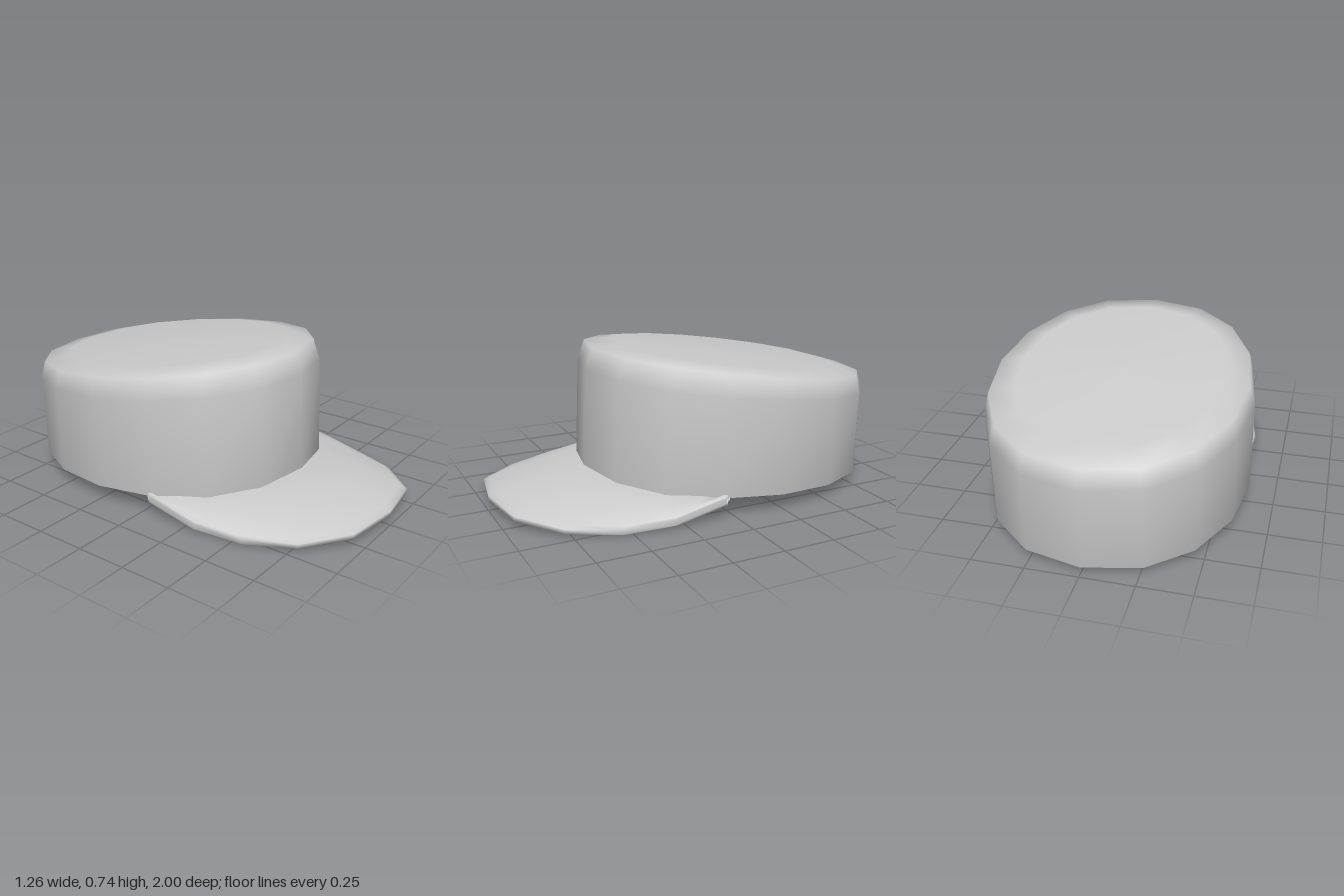
import * as THREE from 'three';

const material = new THREE.MeshStandardMaterial({ color: 0xcccccc, side: THREE.DoubleSide });
const SIDES = 16;

// Skin a row of closed loops (equal point counts) with smooth normals.
function loft(loops) {
  const n = loops[0].length, index = [];
  for (let r = 0; r < loops.length - 1; r++) {
    for (let i = 0; i < n; i++) {
      const a = r * n + i, b = r * n + (i + 1) % n;
      index.push(a, b, b + n, a, b + n, a + n);
    }
  }
  const geometry = new THREE.BufferGeometry();
  geometry.setAttribute('position', new THREE.Float32BufferAttribute(loops.flat(2), 3));
  geometry.setIndex(index);
  geometry.computeVertexNormals();
  return geometry;
}

// Tilted oval ring given by its front point, back point and half width.
function oval([zFront, yFront, zBack, yBack, halfWidth]) {
  const loop = [];
  for (let i = 0; i < SIDES; i++) {
    const t = (i / SIDES) * Math.PI * 2, s = Math.sin(t), k = (1 + Math.cos(t)) / 2;
    loop.push([
      halfWidth * Math.sign(s) * Math.abs(s) ** 0.9,
      THREE.MathUtils.lerp(yBack, yFront, k),
      THREE.MathUtils.lerp(zBack, zFront, k),
    ]);
  }
  return loop;
}

// Crown: hollow shell from the inner ceiling, down, round the hem and up.
function crown() {
  return loft([
    [-0.25, 0.63, -0.252, 0.63, 0.001],
    [0.39, 0.685, -0.9, 0.495, 0.54],
    [0.445, 0.6, -0.945, 0.41, 0.575],
    [0.46, 0.15, -0.93, 0.065, 0.575],
    [0.52, 0.13, -0.985, 0.045, 0.63],
    [0.495, 0.63, -1.0, 0.44, 0.63],
    [0.46, 0.735, -0.975, 0.53, 0.605],
    [0.33, 0.742, -0.84, 0.572, 0.49],
    [-0.25, 0.67, -0.252, 0.67, 0.001],
  ].map(oval));
}

// Brim: sections fanning from the crown wall to the outer edge.
function brim() {
  // inner x, y, z, then outer x, y, z (top surface), centre to side
  const half = [
    [0, 0.16, 0.48, 0, 0.082, 0.995],
    [0.255, 0.148, 0.42, 0.27, 0.07, 0.95],
    [0.44, 0.13, 0.26, 0.455, 0.048, 0.78],
    [0.53, 0.12, 0.13, 0.555, 0.04, 0.55],
    [0.565, 0.115, 0.04, 0.595, 0.055, 0.32],
    [0.57, 0.115, 0.02, 0.595, 0.112, 0.05],
  ];
  const mirrored = half.slice(1).reverse().map(([a, b, c, d, e, f]) => [-a, b, c, -d, e, f]);
  const sections = [...mirrored, ...half].map((p) => {
    const at = (t, dy) => [0, 1, 2].map((k) =>
      THREE.MathUtils.lerp(p[k], p[k + 3], t) + (k === 1 ? dy : 0));
    return [
      at(0, 0), at(0.55, 0.012), at(0.94, 0.002), at(1, -0.006),
      at(1, -0.03), at(0.92, -0.042), at(0.55, -0.025), at(0, -0.03),
    ];
  });
  return loft(sections);
}

export function createModel() {
  const cap = new THREE.Group();
  cap.name = 'cap';
  for (const [name, geometry] of [['crown', crown()], ['brim', brim()]]) {
    const mesh = new THREE.Mesh(geometry, material);
    mesh.name = name;
    cap.add(mesh);
  }
  return cap;
}
